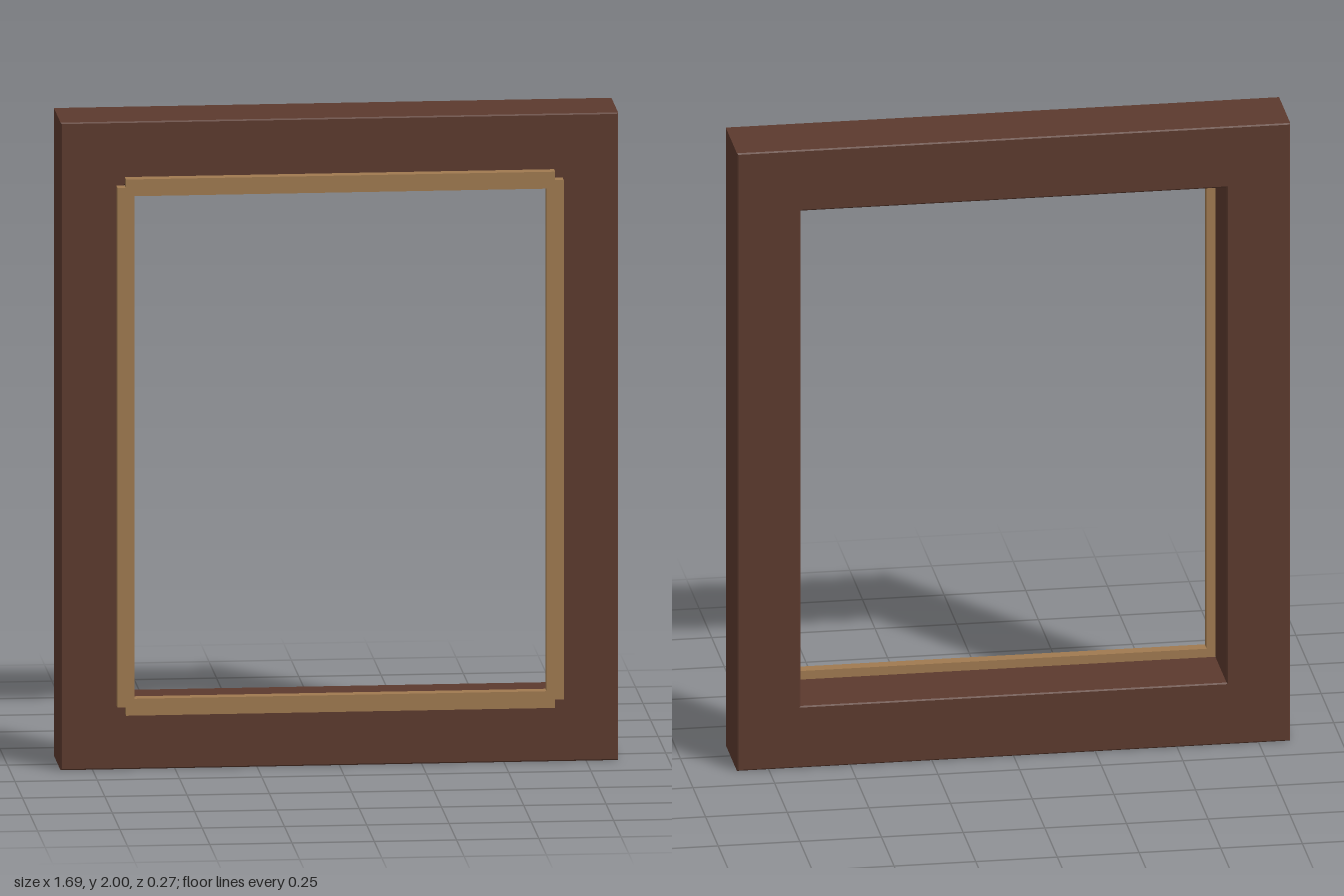
import * as THREE from 'three';

const darkWood = new THREE.MeshStandardMaterial({ color: 0x5c3a2e });
darkWood.name = 'dark wood';
const lightWood = new THREE.MeshStandardMaterial({ color: 0xa07a50 });
lightWood.name = 'light wood';

const OUT_X = 0.847;            // half width of the frame
const IN_X = 0.652;             // half width of the opening
const IN_Y0 = 0.199, IN_Y1 = 1.803;
const BACK = -0.133, FRONT = 0.096;
const TRIM_W = 0.052, TRIM_D = 0.038;
const BEVEL = 0.004;

function rect(target, x, y0, y1) {
  target.moveTo(-x, y0);
  target.lineTo(x, y0);
  target.lineTo(x, y1);
  target.lineTo(-x, y1);
  target.closePath();
  return target;
}

function bar(name, w, h, x, y) {
  const mesh = new THREE.Mesh(new THREE.BoxGeometry(w, h, TRIM_D), lightWood);
  mesh.name = name;
  mesh.position.set(x, y, FRONT + TRIM_D / 2);
  return mesh;
}

export function createModel() {
  const model = new THREE.Group();
  model.name = 'windowFrame';

  // Deep outer frame with a rectangular opening and finely eased edges
  const shape = rect(new THREE.Shape(), OUT_X, 0, 2);
  shape.holes.push(rect(new THREE.Path(), IN_X, IN_Y0, IN_Y1));
  const geometry = new THREE.ExtrudeGeometry(shape, {
    depth: FRONT - BACK - 2 * BEVEL,
    bevelEnabled: true, bevelSegments: 1,
    bevelSize: BEVEL, bevelThickness: BEVEL, bevelOffset: -BEVEL,
  });
  geometry.translate(0, 0, BACK + BEVEL);
  const frame = new THREE.Mesh(geometry, darkWood);
  frame.name = 'outerFrame';
  model.add(frame);

  // Thin trim centred on the edges of the opening, with notched corners
  const trim = new THREE.Group();
  trim.name = 'trim';
  trim.add(bar('topTrim', 2 * IN_X, TRIM_W, 0, IN_Y1));
  trim.add(bar('bottomTrim', 2 * IN_X, TRIM_W, 0, IN_Y0));
  for (const side of [-1, 1]) {
    trim.add(bar(side > 0 ? 'leftTrim' : 'rightTrim',
      TRIM_W, IN_Y1 - IN_Y0, side * IN_X, (IN_Y0 + IN_Y1) / 2));
  }
  model.add(trim);
  return model;
}
